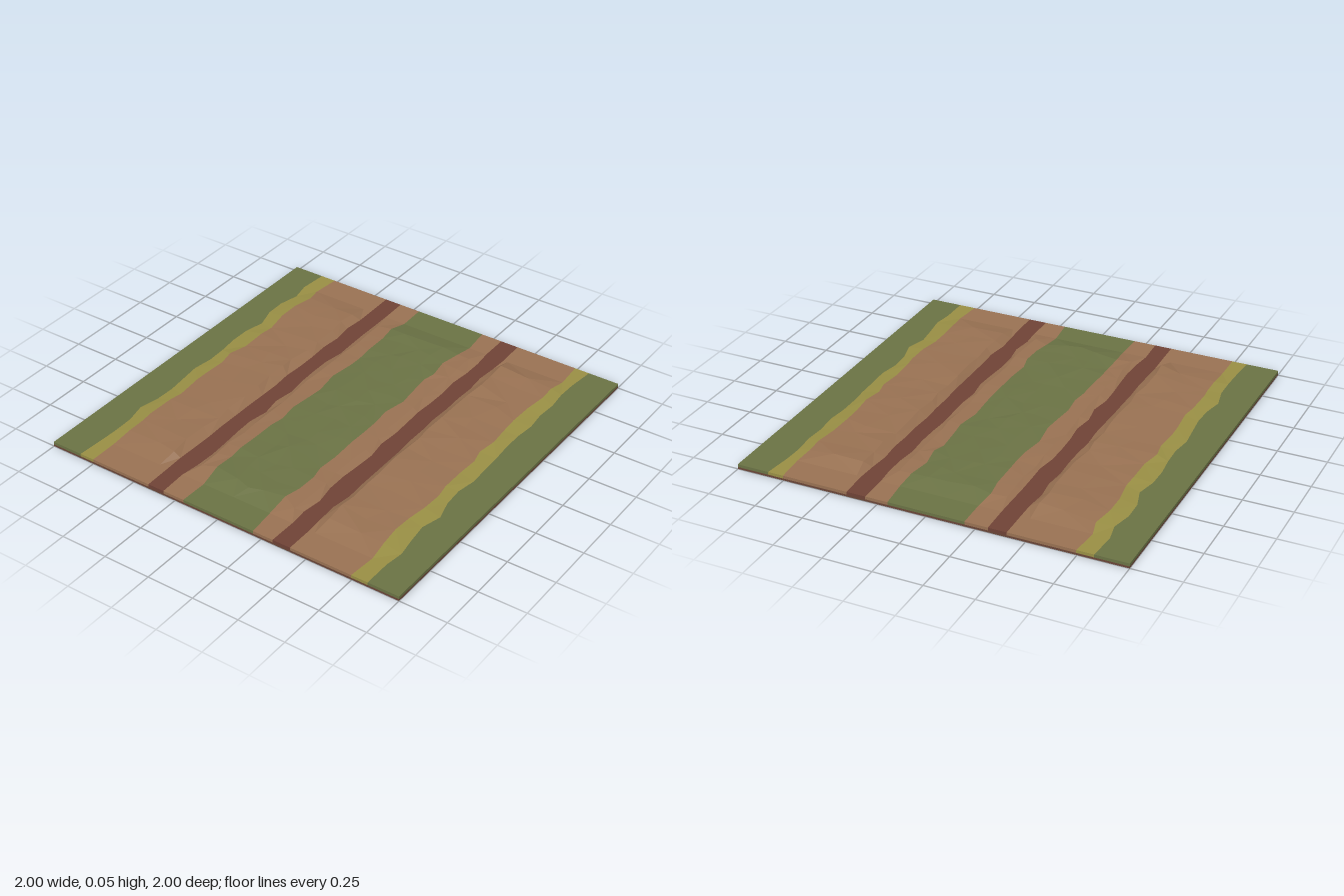
import * as THREE from 'three';

const mat = (name, color) => {
  const m = new THREE.MeshStandardMaterial({ color });
  m.name = name;
  return m;
};

const BASE = 0.025; // level of the flat ground
const SOIL = 0.01;  // thickness of the soil slab

// Cross-section from -x to +x: [x, height, side wobble, height wobble, strip to its right]
const PROFILE = [
  [-1, BASE, 0, 0, 'grass'],
  [-0.83, BASE, 0.018, 0, 'dryVerge'],
  [-0.75, 0.036, 0.014, 0.003, 'dirt'],
  [-0.6, 0.044, 0.04, 0.004, 'dirt'],
  [-0.455, 0.051, 0.01, 0.004, 'dirt'],
  [-0.41, BASE, 0.008, 0, 'rut'],
  [-0.317, BASE, 0.01, 0, 'dirt'],
  [-0.285, 0.039, 0.01, 0.003, 'dirt'],
  [-0.2, 0.043, 0.014, 0.003, 'grass'],
  [-0.1, 0.048, 0.03, 0.003, 'grass'],
  [0, 0.05, 0.025, 0.004, 'grass'],
  [0.1, 0.048, 0.03, 0.003, 'grass'],
  [0.2, 0.043, 0.014, 0.003, 'dirt'],
  [0.28, 0.039, 0.01, 0.003, 'dirt'],
  [0.315, BASE, 0.01, 0, 'rut'],
  [0.41, BASE, 0.008, 0, 'dirt'],
  [0.45, 0.051, 0.01, 0.004, 'dirt'],
  [0.6, 0.044, 0.04, 0.004, 'dirt'],
  [0.75, 0.036, 0.014, 0.003, 'dryVerge'],
  [0.83, BASE, 0.018, 0, 'grass'],
  [1, BASE, 0, 0, ''],
];

export function createModel() {
  const group = new THREE.Group();
  const materials = {
    grass: mat('grass green', 0x6a7244),
    dryVerge: mat('dry grass yellow', 0x988e44),
    dirt: mat('dirt brown', 0x987152),
    rut: mat('wheel rut red brown', 0x6f4236),
  };

  // Small seeded wobble in -1..1
  let seed = 41;
  const wobble = () => {
    seed = (seed * 16807) % 2147483647;
    return (seed / 2147483647) * 2 - 1;
  };

  // Rows along the road: flat ends, raised in between
  const rows = [-1, -0.85];
  for (let i = 0; i <= 14; i++) rows.push(-0.75 + (1.5 * i) / 14);
  rows.push(0.85, 1);

  const grid = rows.map((z, j) => {
    const inner = j > 1 && j < rows.length - 2;
    const end = j === 0 || j === rows.length - 1;
    return PROFILE.map(([x, y, dx, dy]) => new THREE.Vector3(
      x + dx * wobble() * (end ? 0.3 : 1),
      inner ? y + dy * wobble() : BASE,
      z + (inner && dy ? 0.025 * wobble() : 0),
    ));
  });

  // Collect faceted corners for each strip colour
  const strips = { grass: [], dryVerge: [], dirt: [], rut: [] };
  const tri = (key, ...pts) => pts.forEach((p) => strips[key].push(p.x, p.y, p.z));
  const wall = (key, a, b) => { // from the edge a-b down to the soil
    const a0 = a.clone().setY(SOIL), b0 = b.clone().setY(SOIL);
    tri(key, a0, b0, b);
    tri(key, a0, b, a);
  };

  const last = rows.length - 1, right = PROFILE.length - 1;
  for (let i = 0; i < right; i++) {
    const key = PROFILE[i][4];
    for (let j = 0; j < last; j++) {
      const a = grid[j][i], b = grid[j + 1][i], c = grid[j + 1][i + 1], d = grid[j][i + 1];
      if ((i + j) % 2) {
        tri(key, a, b, c);
        tri(key, a, c, d);
      } else {
        tri(key, a, b, d);
        tri(key, b, c, d);
      }
    }
    wall(key, grid[last][i], grid[last][i + 1]);
    wall(key, grid[0][i + 1], grid[0][i]);
  }
  for (let j = 0; j < last; j++) {
    wall('grass', grid[j][0], grid[j + 1][0]);
    wall('grass', grid[j + 1][right], grid[j][right]);
  }

  for (const [key, corners] of Object.entries(strips)) {
    const geo = new THREE.BufferGeometry();
    geo.setAttribute('position', new THREE.Float32BufferAttribute(corners, 3));
    geo.computeVertexNormals();
    const mesh = new THREE.Mesh(geo, materials[key]);
    mesh.name = key;
    group.add(mesh);
  }

  // Soil slab underneath
  const soil = new THREE.Mesh(new THREE.BoxGeometry(2, SOIL, 2), mat('soil brown', 0x6a4537));
  soil.name = 'soilSlab';
  soil.position.y = SOIL / 2;
  group.add(soil);

  return group;
}
